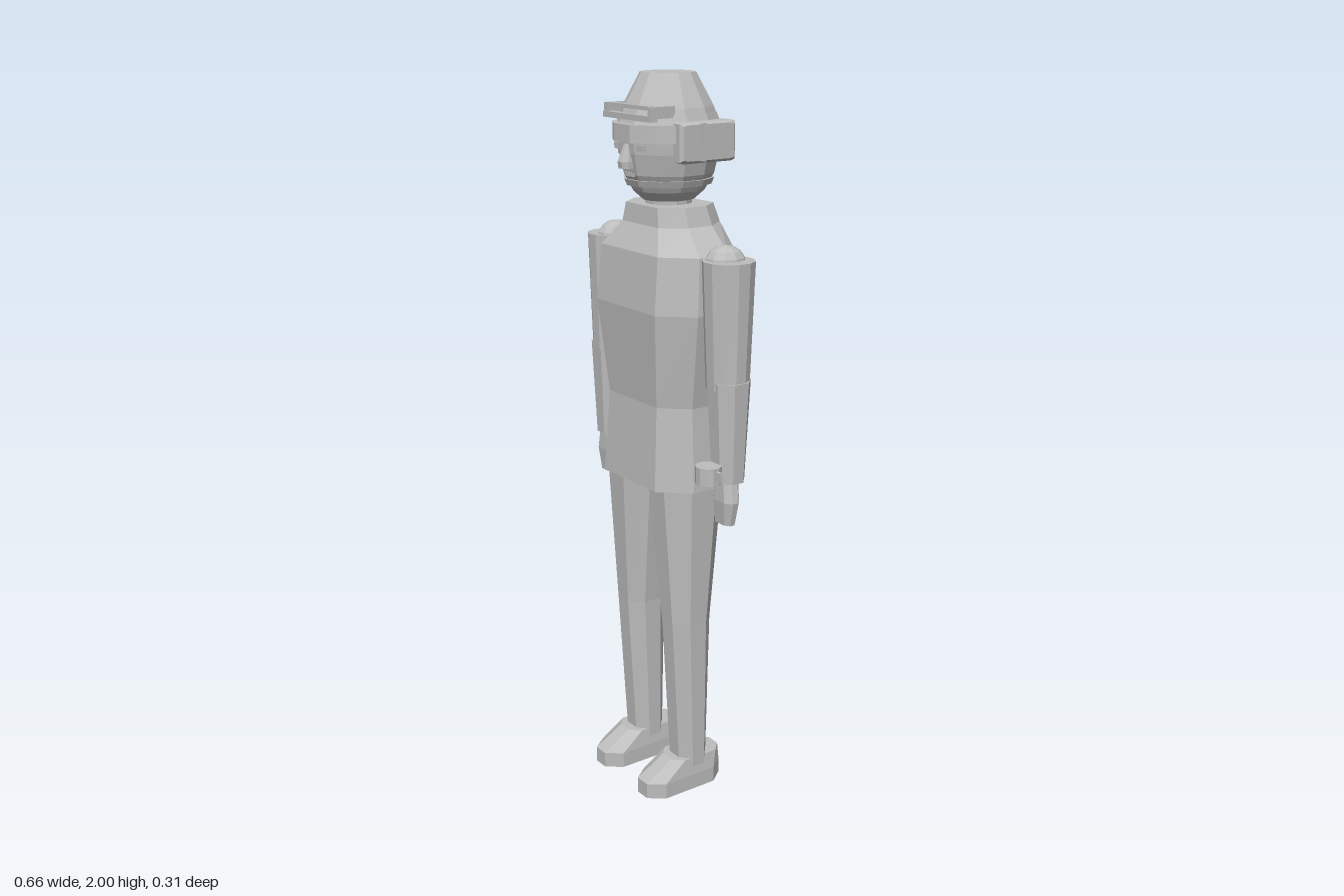
import * as THREE from 'three';

const grey = new THREE.MeshStandardMaterial({ color: 0xbdbdbd });
grey.name = 'plain grey';

// Unit outlines, [x, z], running from +x towards +z
const ngon = (n, turn = 0.5) => Array.from({ length: n }, (_, i) => {
  const a = ((i + turn) / n) * Math.PI * 2, k = turn ? 1 / Math.cos(Math.PI / n) : 1;
  return [Math.cos(a) * k, Math.sin(a) * k];
});
const chamfered = (cx, cz) => [[1, -cz], [1, cz], [cx, 1], [-cx, 1], [-1, cz], [-1, -cz], [-cx, -1], [cx, -1]];

// Faceted body through sections [y, centreX, centreZ, halfX, halfZ]
function loft(outline, sections) {
  const rings = sections.map(([y, cx, cz, rx, rz]) => outline.map(([x, z]) => [cx + x * rx, y, cz + z * rz]));
  const n = outline.length, last = rings.length - 1, pos = [];
  const mid = (s) => [s[1], s[0], s[2]];
  for (let j = 0; j < n; j++) {
    const k = (j + 1) % n;
    for (let i = 0; i < last; i++) {
      const a = rings[i][j], b = rings[i][k], c = rings[i + 1][j], d = rings[i + 1][k];
      pos.push(...a, ...c, ...b, ...b, ...c, ...d);
    }
    pos.push(...mid(sections[0]), ...rings[0][j], ...rings[0][k]);
    pos.push(...mid(sections[last]), ...rings[last][k], ...rings[last][j]);
  }
  const g = new THREE.BufferGeometry();
  g.setAttribute('position', new THREE.Float32BufferAttribute(pos, 3));
  g.computeVertexNormals();
  return g;
}

export function createModel() {
  const root = new THREE.Group();
  root.name = 'figure';
  const add = (name, geometry, x = 0, y = 0, z = 0) => {
    const m = new THREE.Mesh(geometry, grey);
    m.name = name;
    m.position.set(x, y, z);
    root.add(m);
    return m;
  };
  // Box given by its extents
  const box = (name, x0, x1, y0, y1, z0, z1) => add(name,
    new THREE.BoxGeometry(x1 - x0, y1 - y0, z1 - z0), (x0 + x1) / 2, (y0 + y1) / 2, (z0 + z1) / 2);

  // Coat with its collar
  add('coat', loft(chamfered(0.63, 0.38), [
    [0.915, 0, -0.005, 0.193, 0.125],
    [1.145, 0, -0.005, 0.177, 0.112],
    [1.4, 0, 0, 0.215, 0.129],
    [1.55, 0, -0.007, 0.207, 0.123],
    [1.615, 0, -0.02, 0.13, 0.1],
    [1.665, 0, -0.015, 0.115, 0.09],
  ]));
  add('neck', loft(ngon(12), [[1.64, 0, -0.012, 0.06, 0.06], [1.7, 0, -0.012, 0.06, 0.06]]));

  // Head
  add('head', loft(ngon(12), [
    [1.675, 0, -0.012, 0.062, 0.068],
    [1.7, 0, -0.012, 0.088, 0.096],
    [1.745, 0, -0.012, 0.112, 0.12],
    [1.8, 0, -0.012, 0.125, 0.131],
    [1.87, 0, -0.012, 0.13, 0.135],
    [1.9, 0, -0.012, 0.12, 0.122],
  ]));
  add('chinStrap', loft(ngon(12), [[1.715, 0, -0.012, 0.105, 0.113], [1.732, 0, -0.012, 0.112, 0.12]]));
  add('headband', loft(ngon(12), [[1.83, 0, -0.011, 0.138, 0.147], [1.875, 0, -0.011, 0.136, 0.147]]));
  add('hat', loft(ngon(12), [
    [1.86, 0, -0.01, 0.132, 0.136],
    [1.915, 0, -0.01, 0.115, 0.116],
    [2, 0, -0.01, 0.071, 0.071],
  ]));

  // Face
  add('nose', loft(chamfered(0.5, 0.4), [
    [1.763, 0, 0.118, 0.018, 0.022],
    [1.78, 0, 0.118, 0.018, 0.025],
    [1.825, 0, 0.115, 0.008, 0.01],
  ]));
  box('mouth', -0.018, 0.018, 1.741, 1.751, 0.09, 0.112);

  // Lifted visor on the hat
  box('visorBar', -0.105, 0.105, 1.885, 1.9, 0.098, 0.122);
  box('visorTopBar', -0.085, 0.085, 1.912, 1.922, 0.09, 0.11);

  for (const s of [1, -1]) {
    const side = s > 0 ? 'left' : 'right';
    const pair = (name, x0, x1, ...yz) => box(side + name, Math.min(s * x0, s * x1), Math.max(s * x0, s * x1), ...yz);
    pair('Eye', 0.032, 0.062, 1.808, 1.825, 0.09, 0.117);
    pair('VisorArm', 0.09, 0.106, 1.893, 1.922, 0.045, 0.118);

    // Ear piece with bevelled rim
    const ear = add(side + 'EarPiece', loft(chamfered(0.92, 0.85), [
      [0, 0, 0, 0.052, 0.088], [0.026, 0, 0, 0.052, 0.088], [0.034, 0, 0, 0.045, 0.08],
    ]), s * 0.113, 1.832, -0.034);
    ear.rotation.z = -s * Math.PI / 2;
    pair('EarRidge', 0.14, 0.151, 1.785, 1.88, -0.022, -0.008);

    // Arm
    const ball = new THREE.SphereGeometry(0.051, 10, 8).toNonIndexed();
    ball.computeVertexNormals();
    add(side + 'Shoulder', ball, s * 0.249, 1.536, -0.01).scale.z = 1.12;
    add(side + 'UpperArm', loft(ngon(12), [
      [1.22, s * 0.267, -0.008, 0.056, 0.055], [1.55, s * 0.266, -0.008, 0.066, 0.067],
    ]));
    add(side + 'Forearm', loft(ngon(8), [
      [0.968, s * 0.275, -0.008, 0.043, 0.04], [1.24, s * 0.273, -0.008, 0.055, 0.054],
    ]));
    add(side + 'Hand', loft(chamfered(0.55, 0.4), [
      [0.85, s * 0.274, 0.001, 0.034, 0.017],
      [0.915, s * 0.278, 0, 0.042, 0.024],
      [0.98, s * 0.277, -0.004, 0.027, 0.026],
    ]));

    // Leg and shoe
    add(side + 'Leg', loft(chamfered(0.42, 0.42), [
      [0.06, s * 0.108, -0.004, 0.053, 0.046],
      [0.51, s * 0.11, 0.006, 0.058, 0.064],
      [0.93, s * 0.097, 0, 0.086, 0.1],
    ]));
    add(side + 'Shoe', loft(chamfered(0.4, 0.66), [
      [0, s * 0.108, 0.028, 0.056, 0.128],
      [0.045, s * 0.108, 0.028, 0.056, 0.128],
      [0.095, s * 0.108, -0.013, 0.05, 0.083],
    ]));
  }

  // Round wrist device with its knob on the left arm
  add('wristDevice', loft(ngon(12), [[0.975, 0.28, 0.061, 0.034, 0.034], [1.022, 0.28, 0.061, 0.034, 0.034]]));
  box('wristKnob', 0.31, 0.332, 0.988, 1.014, 0.055, 0.064);
  return root;
}
